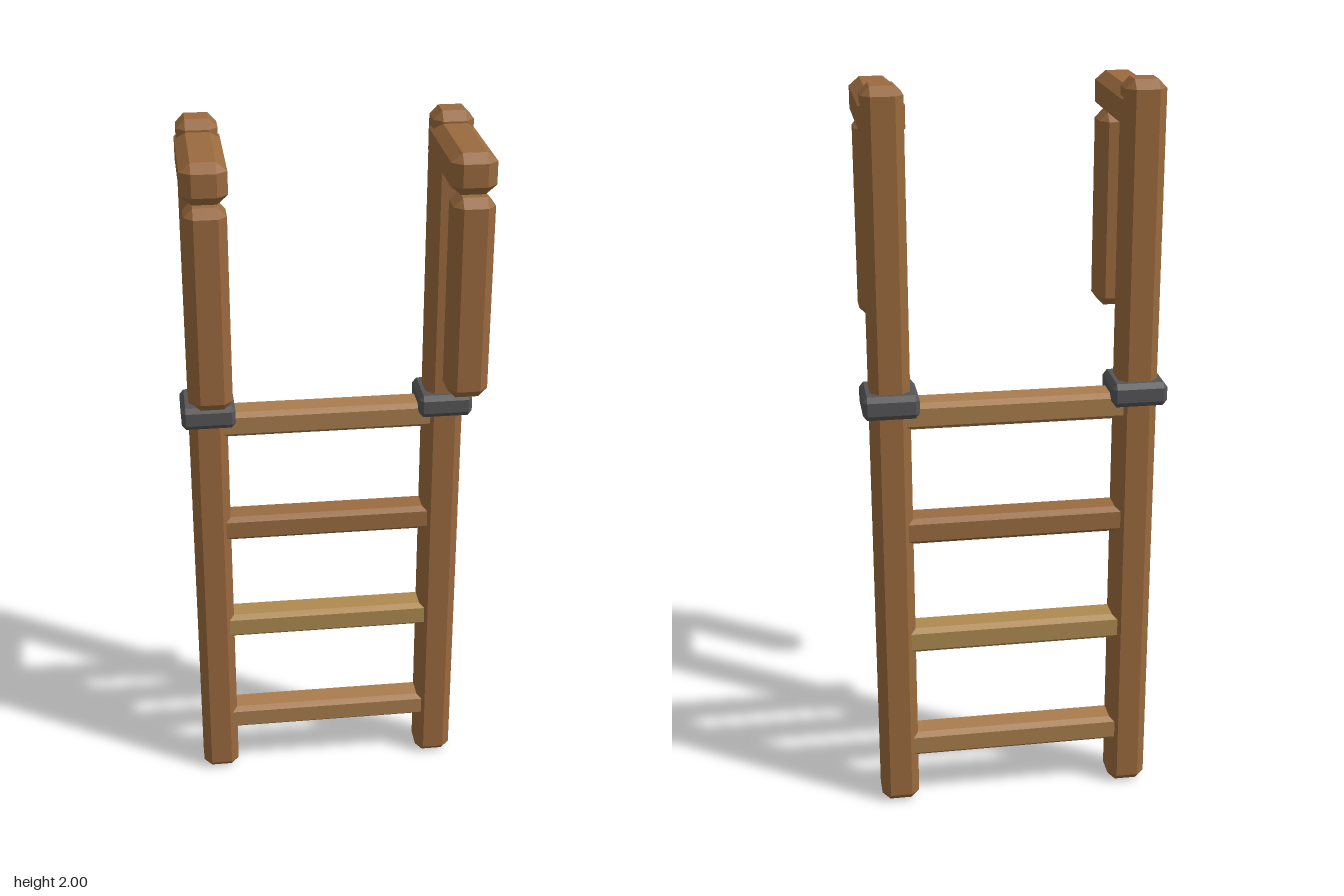
import * as THREE from 'three';
import { ConvexGeometry } from 'three/addons/geometries/ConvexGeometry.js';

// Box with every edge and corner cut; c is the cut along each axis.
function chamferBox(w, h, d, c) {
  const half = [w / 2, h / 2, d / 2];
  const points = [];
  for (const sx of [-1, 1]) for (const sy of [-1, 1]) for (const sz of [-1, 1]) {
    for (let axis = 0; axis < 3; axis++) {
      // Only the coordinate on this axis reaches the full half size.
      const p = half.map((v, i) => (i === axis ? v : v - c[i]));
      points.push(new THREE.Vector3(p[0] * sx, p[1] * sy, p[2] * sz));
    }
  }
  return new ConvexGeometry(points);
}

const material = (color) =>
  new THREE.MeshStandardMaterial({ color, flatShading: true });

export function createModel() {
  const model = new THREE.Group();
  const wood = material(0x9a6a3e);
  const iron = material(0x555557);

  function add(parent, name, size, chamfer, position, mat) {
    const mesh = new THREE.Mesh(chamferBox(...size, chamfer), mat);
    mesh.name = name;
    mesh.position.set(...position);
    parent.add(mesh);
  }

  const postZ = -0.139;
  const beamCut = [0.022, 0.023, 0.022];

  // Each side: tall post, rail reaching forward, hanging grip and collar
  for (const [side, s] of [['left', 1], ['right', -1]]) {
    const group = new THREE.Group();
    group.name = side + 'Side';
    group.position.x = s * 0.325;
    add(group, 'post', [0.104, 2, 0.104], beamCut, [0, 1, postZ], wood);
    add(group, 'topRail', [0.115, 0.104, 0.351], [0.027, 0.023, 0.022], [0, 1.92, 0.0115], wood);
    add(group, 'hangingPost', [0.104, 0.528, 0.104], beamCut, [0, 1.604, 0.157], wood);
    add(group, 'collar', [0.146, 0.064, 0.146], [0.011, 0.014, 0.011], [0, 1.191, postZ], iron);
    model.add(group);
  }

  // Rungs, each of a slightly different wood tone
  const rungColors = [0xa97c4d, 0xb08a50, 0x9a6c40, 0xa97c4d];
  rungColors.forEach((color, i) => {
    add(model, 'rung' + (i + 1), [0.62, 0.072, 0.087], [0.01, 0.012, 0.014],
      [0, 0.175 + i * 0.326, postZ], material(color));
  });

  return model;
}
